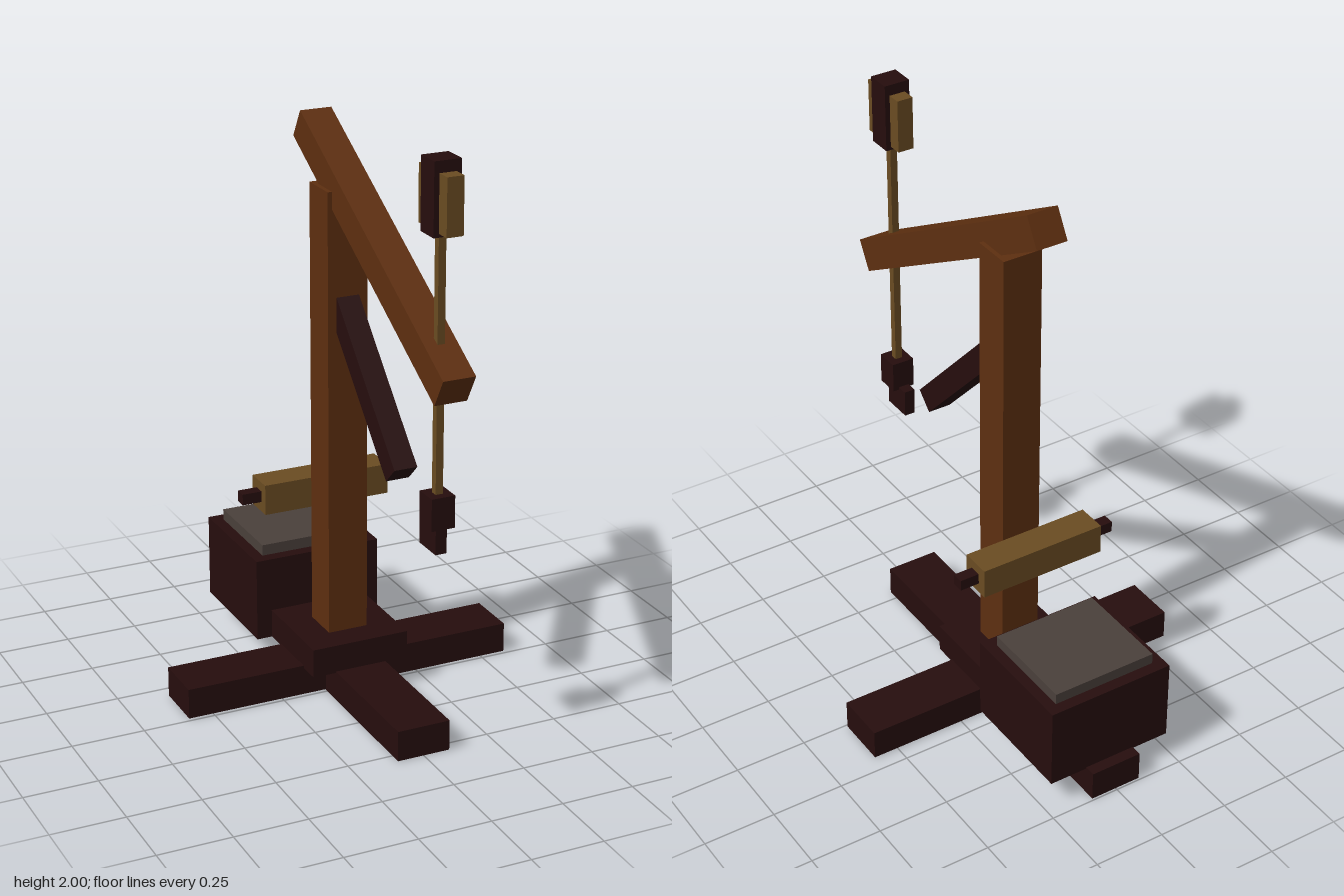
import * as THREE from 'three';

export function createModel() {
  const model = new THREE.Group();
  const material = (name, color) => {
    const m = new THREE.MeshStandardMaterial({ color });
    m.name = name;
    return m;
  };
  const darkWood = material('dark wood', 0x260d0d);
  const brownWood = material('brown wood', 0x5e2f10);
  const tan = material('tan wood and rope', 0x6a4c22);
  const stone = material('grey stone', 0x4a403b);

  // Box centred on x = 0, given its half width and its y and z ranges
  const beam = (name, mat, halfX, [y0, y1], [z0, z1]) => {
    const mesh = new THREE.Mesh(new THREE.BoxGeometry(halfX * 2, y1 - y0, z1 - z0), mat);
    mesh.position.set(0, (y0 + y1) / 2, (z0 + z1) / 2);
    mesh.name = name;
    model.add(mesh);
    return mesh;
  };
  // Box lying along z, tilted so its front end points down
  const tilted = (name, mat, halfX, thick, length, y, z, degrees) => {
    const mesh = beam(name, mat, halfX, [y - thick / 2, y + thick / 2], [z - length / 2, z + length / 2]);
    mesh.rotation.x = THREE.MathUtils.degToRad(degrees);
  };

  // Crossed feet and post socket
  beam('crossFoot', darkWood, 0.588, [0.003, 0.108], [-0.193, -0.01]);
  beam('longFoot', darkWood, 0.092, [0, 0.105], [-0.742, 0.54]);
  beam('postSocket', darkWood, 0.173, [0.1, 0.2], [-0.275, 0.07]);

  // Post, swinging arm and brace
  beam('post', brownWood, 0.07, [0.2, 1.733], [-0.168, -0.03]);
  tilted('arm', brownWood, 0.055, 0.11, 1.173, 1.6, 0.21, 30);
  tilted('brace', darkWood, 0.04, 0.082, 0.66, 1.148, 0.137, 46);

  // Rope with pulley and hook
  beam('rope', tan, 0.0125, [0.9, 1.8], [0.599, 0.624]);
  beam('pulleyBlock', darkWood, 0.045, [1.768, 2], [0.568, 0.653]);
  beam('pulleyWheel', tan, 0.028, [1.78, 1.963], [0.52, 0.703]);
  beam('hookBlock', darkWood, 0.04, [0.833, 0.94], [0.571, 0.653]);
  beam('hook', darkWood, 0.019, [0.747, 0.842], [0.532, 0.641]);

  // Winch behind the post
  beam('winchDrum', tan, 0.226, [0.595, 0.7], [-0.301, -0.194]);
  beam('winchAxle', darkWood, 0.294, [0.63, 0.668], [-0.267, -0.226]);

  // Counterweight box filled with stone
  beam('ballastBox', darkWood, 0.227, [0.1, 0.39], [-0.702, -0.275]);
  beam('ballastStone', stone, 0.187, [0.38, 0.428], [-0.662, -0.316]);

  return model;
}
